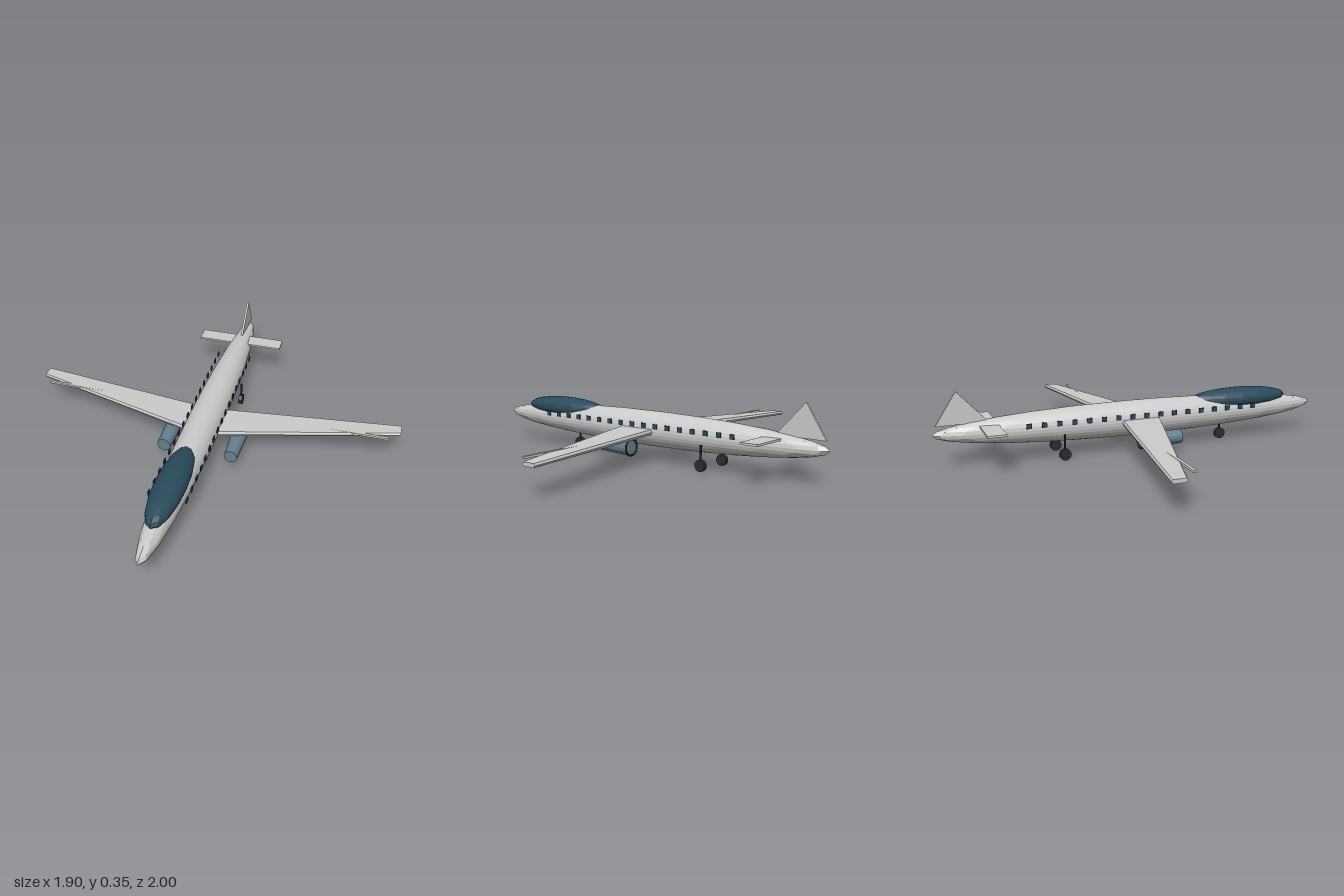
import * as THREE from 'three';

const mat = (color, extra = {}) => new THREE.MeshStandardMaterial({ color, flatShading: true, ...extra });
const hull = mat(0xcccccc);
const glass = mat(0x2a4a5c);
const metal = mat(0x66808f);
const rubber = mat(0x2a2e31);

function add(parent, name, geometry, material, x = 0, y = 0, z = 0) {
  const mesh = new THREE.Mesh(geometry, material);
  mesh.name = name;
  mesh.position.set(x, y, z);
  parent.add(mesh);
  return mesh;
}

// Box whose vertices are reshaped into a swept, tapered wing (root x = 0, tip x = 0.95)
function wingGeometry(side) {
  const geo = new THREE.BoxGeometry(1, 1, 1, 1, 2, 1);
  const p = geo.attributes.position;
  const mix = THREE.MathUtils.lerp;
  for (let i = 0; i < p.count; i++) {
    const t = p.getX(i) * side + 0.5;
    const v = p.getY(i) + 0.5;
    const front = p.getZ(i) > 0;
    // edges bulge slightly at mid thickness
    const bulge = v === 0.5 ? 0.006 : 0;
    const z = front ? mix(0.108, -0.165, t) + bulge : mix(-0.09, -0.224, t) - bulge;
    p.setXYZ(i, side * 0.95 * t, mix(mix(0.138, 0.135, t), mix(0.166, 0.153, t), v), z);
  }
  geo.computeVertexNormals();
  return geo;
}

function landingGear(name, x, z, top) {
  const gear = new THREE.Group();
  gear.name = name;
  const wheel = new THREE.CylinderGeometry(0.028, 0.028, 0.02, 16).rotateZ(Math.PI / 2);
  add(gear, 'wheel', wheel, rubber, 0, 0.028, 0);
  add(gear, 'strut', new THREE.CylinderGeometry(0.005, 0.005, top - 0.028, 8), rubber, 0, (top + 0.028) / 2, 0);
  gear.position.set(x, 0, z);
  return gear;
}

export function createModel() {
  const plane = new THREE.Group();
  plane.name = 'airplane';

  // Body and canopy are stretched low-poly spheres
  add(plane, 'fuselage', new THREE.SphereGeometry(1, 24, 16).scale(0.087, 0.087, 1), hull, 0, 0.155, 0);
  add(plane, 'canopy', new THREE.SphereGeometry(1, 16, 12).scale(0.074, 0.055, 0.28), glass, 0, 0.21, 0.56);

  for (const side of [1, -1]) {
    const label = side > 0 ? 'left' : 'right';
    add(plane, label + 'Wing', wingGeometry(side), hull);
    // strip that crosses the outer leading edge
    add(plane, label + 'WingStrip', new THREE.BoxGeometry(0.32, 0.01, 0.014), hull, side * 0.735, 0.153, -0.103);

    // Engine: tapered barrel with a dark ring at the rear
    const engine = new THREE.Group();
    engine.name = label + 'Engine';
    add(engine, 'barrel', new THREE.CylinderGeometry(0.033, 0.042, 0.21, 16).rotateX(Math.PI / 2), metal);
    add(engine, 'rearRing', new THREE.TorusGeometry(0.04, 0.005, 8, 20), rubber, 0, 0, -0.105);
    engine.position.set(side * 0.17, 0.084, 0.055);
    plane.add(engine);

    // Window row
    const windows = new THREE.Group();
    windows.name = label + 'Windows';
    for (let i = 0; i < 17; i++) {
      add(windows, 'window', new THREE.BoxGeometry(0.005, 0.024, 0.024), glass, side * 0.088, 0.181, 0.606 - i * 0.0735);
    }
    plane.add(windows);
    plane.add(landingGear(label + 'MainGear', side * 0.088, -0.4, 0.125));
  }
  plane.add(landingGear('noseGear', 0, 0.46, 0.1));

  // Tail surfaces
  add(plane, 'tailplane', new THREE.BoxGeometry(0.46, 0.01, 0.088), hull, 0, 0.187, -0.745);
  const finShape = new THREE.Shape([[0.74, 0.2], [0.985, 0.197], [0.885, 0.355]].map(([a, b]) => new THREE.Vector2(a, b)));
  const fin = new THREE.ExtrudeGeometry(finShape, { depth: 0.01, bevelEnabled: false });
  fin.translate(0, 0, -0.005).rotateY(Math.PI / 2);
  add(plane, 'tailFin', fin, hull);

  return plane;
}
